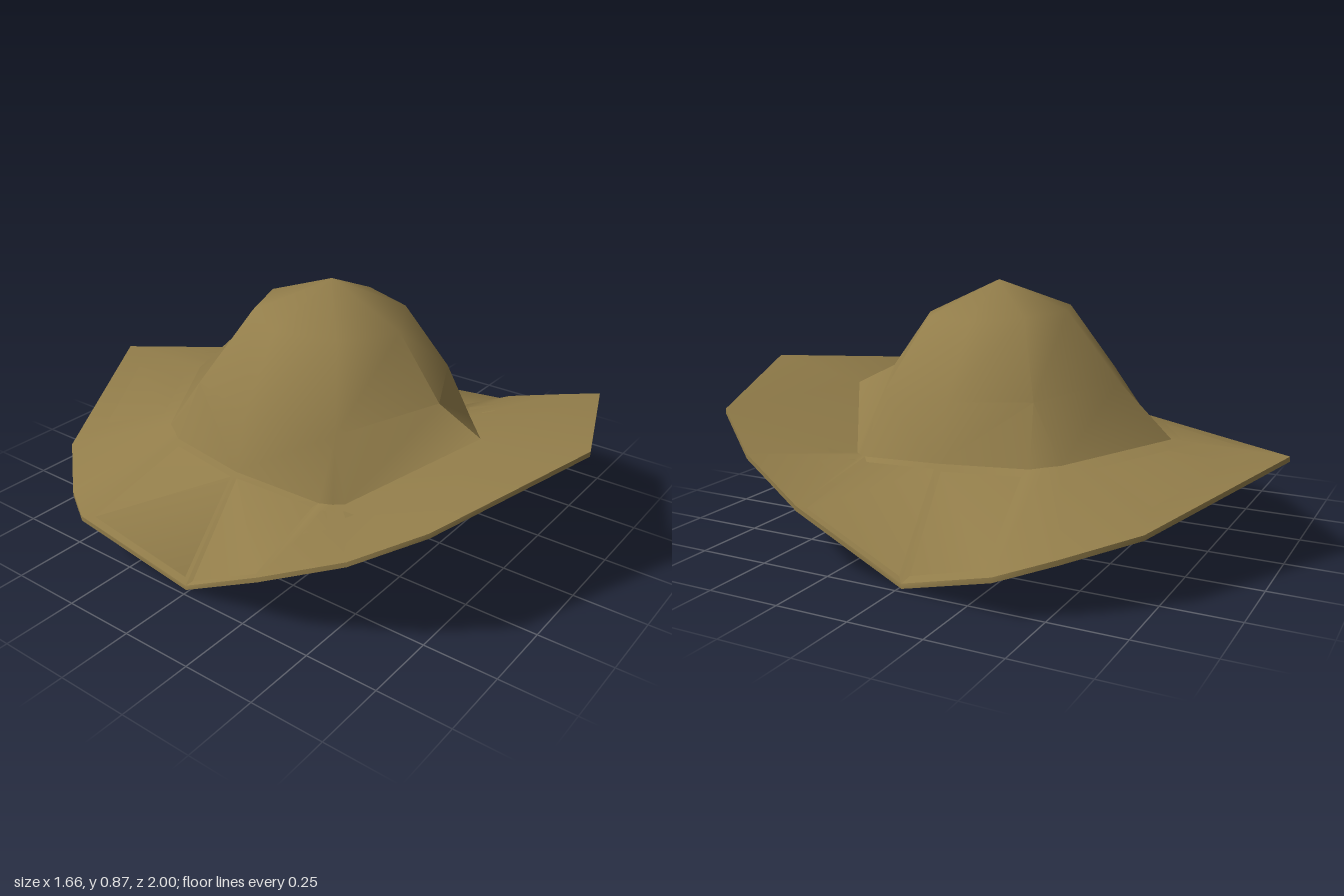
import * as THREE from 'three';
import { mergeVertices, toCreasedNormals } from 'three/addons/utils/BufferGeometryUtils.js';

// Half rings from front to back along +x; each has 9 points [x, y, z].
const crownTop = Array(9).fill([0, 0.87, 0.03]);
const shoulder = expand([[0, 0.74, 0.31], [0.2, 0.75, 0.2], [0.27, 0.755, 0], [0.19, 0.77, -0.16], [0, 0.775, -0.23]]);
const waist = expand([[0, 0.53, 0.47], [0.34, 0.5, 0.3], [0.43, 0.52, 0], [0.35, 0.53, -0.27], [0, 0.55, -0.42]]);
const base = [
  [0, 0.45, 0.63], [0.39, 0.3, 0.375], [0.415, 0.3, 0.345], [0.44, 0.305, 0.31], [0.48, 0.33, 0],
  [0.44, 0.34, -0.3], [0.415, 0.345, -0.34], [0.39, 0.35, -0.385], [0, 0.37, -0.61],
];
const edge = [
  [0, 0.525, 1], [0.565, 0.445, 0.79], [0.69, 0.34, 0.6], [0.775, 0.225, 0.34], [0.73, 0.018, -0.01],
  [0.83, 0.14, -0.37], [0.73, 0.185, -0.53], [0.565, 0.235, -0.72], [0, 0.36, -1],
];

// The upper crown has one corner where the base has three.
function expand([front, c1, side, c2, back]) {
  return [front, c1, c1, c1, side, c2, c2, c2, back];
}

// Mirror a half ring into a closed loop of 16 points.
function fullRing(half) {
  const mirrored = half.slice(1, 8).reverse().map(([x, y, z]) => [-x, y, z]);
  return [...half, ...mirrored];
}

const lower = (ring, d) => ring.map(([x, y, z]) => [x, y - d, z]);

// Skin a list of rings, leaving out collapsed triangles.
function loft(rings, crease) {
  const pos = [];
  const same = (p, q) => p.every((v, i) => Math.abs(v - q[i]) < 1e-6);
  const tri = (a, b, c) => {
    if (!same(a, b) && !same(b, c) && !same(a, c)) pos.push(...a, ...b, ...c);
  };
  for (let r = 0; r < rings.length - 1; r++) {
    for (let j = 0; j < 16; j++) {
      const k = (j + 1) % 16;
      const a = rings[r][j], b = rings[r + 1][j], c = rings[r + 1][k], d = rings[r][k];
      // Diagonals mirror on the two sides and run from the centre line to the corners
      if (j < 4 || (j >= 8 && j < 12)) { tri(a, b, c); tri(a, c, d); }
      else { tri(a, b, d); tri(b, c, d); }
    }
  }
  const g = new THREE.BufferGeometry();
  g.setAttribute('position', new THREE.Float32BufferAttribute(pos, 3));
  return toCreasedNormals(mergeVertices(g), crease);
}

export function createModel() {
  const felt = new THREE.MeshStandardMaterial({ color: 0x927d4a, side: THREE.DoubleSide });
  felt.name = 'tan felt';
  const group = new THREE.Group();
  group.name = 'hat';
  const add = (name, geometry) => {
    const mesh = new THREE.Mesh(geometry, felt);
    mesh.name = name;
    group.add(mesh);
  };

  // Hollow domed crown, flaring to a peak at front and back
  add('crown', loft([crownTop, shoulder, waist, base].map(fullRing), 0.85));

  // Thin brim drooping at the sides; one rear corner is bent up slightly
  const inner = fullRing(base);
  const outer = fullRing(edge).map(([x, y, z]) => [x, x < -0.8 ? y + 0.055 : y, z]);
  add('brim', loft([inner, outer, lower(outer, 0.017), lower(inner, 0.012)], 0.85));

  return group;
}
